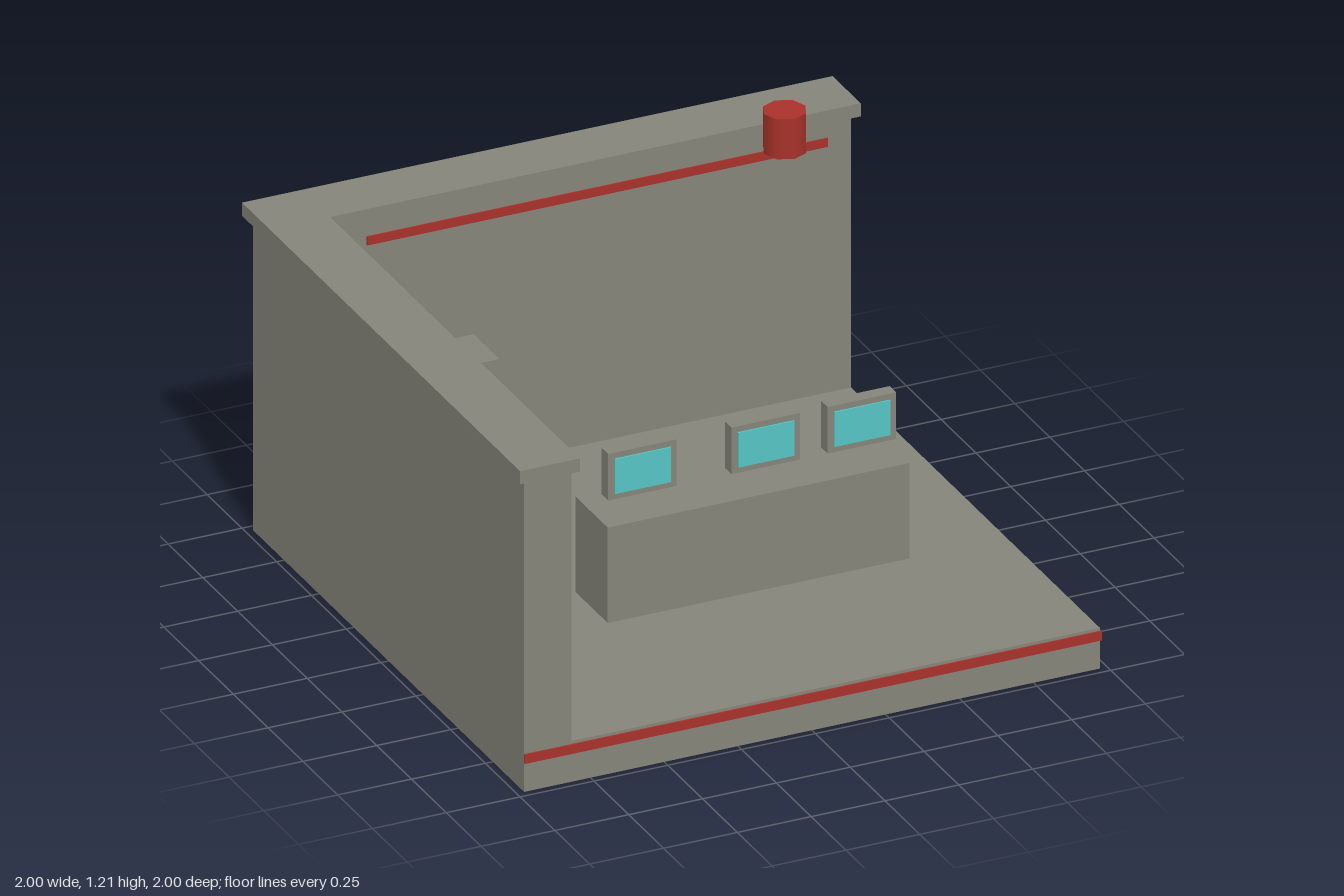
import * as THREE from 'three';

export function createModel() {
  const model = new THREE.Group();
  model.name = 'controlRoom';

  const mat = (name, color) => {
    const m = new THREE.MeshStandardMaterial({ color });
    m.name = name;
    return m;
  };
  const grey = mat('concreteGrey', 0x85847a);
  const red = mat('signalRed', 0xa8322a);
  const cyan = mat('screenCyan', 0x55c4c4);

  // Box given by its extents along each axis
  const box = (name, material, [x0, x1], [y0, y1], [z0, z1]) => {
    const mesh = new THREE.Mesh(new THREE.BoxGeometry(x1 - x0, y1 - y0, z1 - z0), material);
    mesh.position.set((x0 + x1) / 2, (y0 + y1) / 2, (z0 + z1) / 2);
    mesh.name = name;
    model.add(mesh);
    return mesh;
  };

  const E = 0.975;      // outer edge of floor and walls
  const IN = -0.815;    // inner face of the walls
  const FLOOR = 0.14;
  const WALL = 1.075;
  const T = 0.005;      // thickness of painted details

  // Floor slab and the two walls
  box('floor', grey, [-E, E], [0, FLOOR], [-E, E]);
  box('backWall', grey, [-E, E], [FLOOR, WALL], [-E, IN]);
  box('sideWall', grey, [-E, IN], [FLOOR, WALL], [IN, E]);

  // Overhanging wall caps
  box('backWallCap', grey, [-1, 1], [WALL, 1.12], [-1, -0.797]);
  box('sideWallCap', grey, [-1, -0.797], [WALL, 1.12], [-0.797, 1]);

  // Red stripes along the floor edge and high on the walls
  box('floorStripeFront', red, [-E, E], [0.098, 0.13], [E, E + T]);
  box('floorStripeSide', red, [E, E + T], [0.098, 0.13], [-E, E + T]);
  box('backWallStripe', red, [-0.665, 0.895], [0.987, 1.017], [IN, IN + T]);
  box('sideWallStripe', red, [IN, IN + T], [0.987, 1.017], [-0.77, 0.957]);

  // Furniture
  box('desk', grey, [-0.375, 0.647], [FLOOR, 0.468], [0.07, 0.303]);
  box('cabinet', grey, [-0.702, -0.422], [FLOOR, 0.745], [-0.56, -0.375]);

  // Monitors, each with a thin screen plate on its front
  for (const x of [-0.19, 0.227, 0.553]) {
    box('monitor', grey, [x - 0.116, x + 0.116], [0.48, 0.64], [0.113, 0.16]);
    box('screen', cyan, [x - 0.095, x + 0.095], [0.5, 0.62], [0.16, 0.16 + T]);
  }

  // Eight-sided warning beacon
  const beacon = new THREE.Mesh(new THREE.CylinderGeometry(0.07, 0.07, 0.137, 8), red);
  beacon.position.set(0.695, 1.142, -0.697);
  beacon.name = 'beacon';
  model.add(beacon);

  return model;
}
